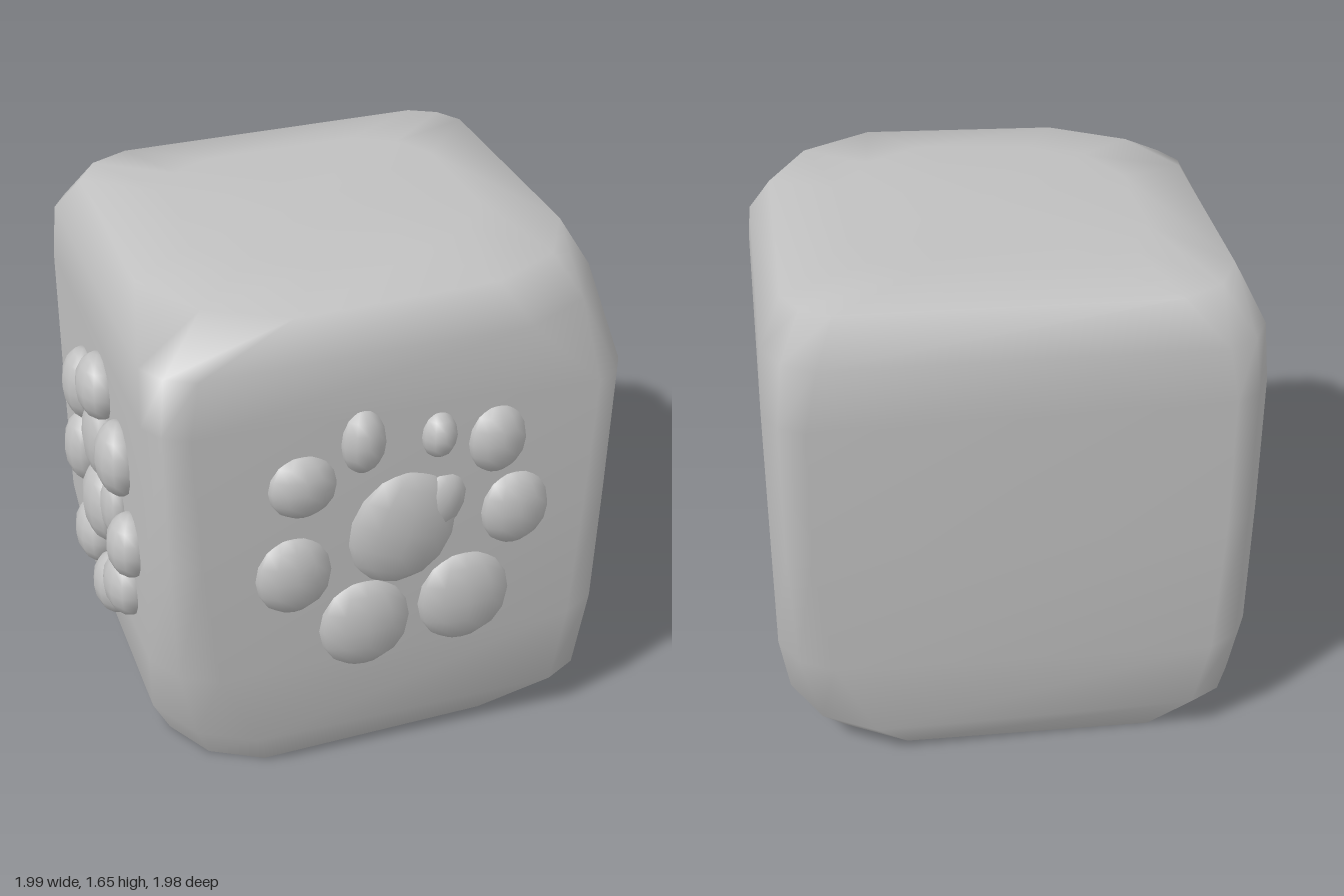
import * as THREE from 'three';

const HX = 0.76, HZ = 0.74, TURN = 0.66;

// Cross-sections from bottom to top: inset, then height and corner cut
// for the front, right, back and left corners.
const RINGS = [
  { inset: 0.09, y: [0, 0.02, 0.02, 0], cut: [0.18, 0.24, 0.22, 0.16] },
  { inset: 0.03, y: [0.13, 0.13, 0.13, 0.13], cut: [0.2, 0.12, 0.19, 0.11] },
  { inset: 0.0, y: [0.42, 0.42, 0.42, 0.38], cut: [0.13, 0.12, 0.12, 0.1] },
  { inset: 0.0, y: [0.85, 0.85, 0.85, 0.85], cut: [0.1, 0.1, 0.085, 0.085] },
  { inset: 0.0, y: [1.3, 1.27, 1.3, 1.3], cut: [0.085, 0.085, 0.09, 0.085] },
  { inset: 0.01, y: [1.48, 1.49, 1.5, 1.48], cut: [0.1, 0.24, 0.11, 0.1] },
  { inset: 0.08, y: [1.6, 1.62, 1.64, 1.62], cut: [0.27, 0.25, 0.1, 0.14] },
  { inset: 0.3, y: [1.635, 1.65, 1.655, 1.645], cut: [0.2, 0.2, 0.15, 0.15] },
];
const CORNERS = [[-1, 1], [1, 1], [1, -1], [-1, -1]];

function ringPoints({ inset, y, cut }) {
  const points = [];
  CORNERS.forEach(([sx, sz], k) => {
    const c = cut[k], hx = HX - inset, hz = HZ - inset;
    const corner = [[1.4 * c, 0], [0.5 * c, 0.5 * c], [0, 1.4 * c]];
    if (sx * sz < 0) corner.reverse();
    for (const [dx, dz] of corner) points.push(sx * (hx - dx), y[k], sz * (hz - dz));
  });
  return points;
}

// Adds a fan of triangles closing one ring
function fan(index, start, n, center, up) {
  for (let i = 0; i < n; i++) {
    const a = start + i, b = start + (i + 1) % n;
    index.push(center, up ? a : b, up ? b : a);
  }
}

function build(positions, index) {
  const g = new THREE.BufferGeometry();
  g.setAttribute('position', new THREE.Float32BufferAttribute(positions, 3));
  g.setIndex(index);
  g.computeVertexNormals();
  return g;
}

function blockGeometry() {
  const n = 12, positions = RINGS.flatMap(ringPoints), index = [];
  for (let j = 0; j < RINGS.length - 1; j++) {
    for (let i = 0; i < n; i++) {
      const a = j * n + i, b = j * n + (i + 1) % n;
      index.push(a, b, b + n, a, b + n, a + n);
    }
  }
  positions.push(0, 1.655, 0);
  fan(index, (RINGS.length - 1) * n, n, RINGS.length * n, true);
  return build(positions, index);
}

function baseGeometry() {
  const positions = ringPoints(RINGS[0]), index = [];
  positions.push(0, 0.01, 0);
  fan(index, 0, 12, 12, false);
  return build(positions, index);
}

// Bumps as [offset along the face, height, half width, half height]
const PAW = [
  [-0.31, 1.08, 0.115, 0.11], [-0.12, 1.2, 0.075, 0.11],
  [0.12, 1.18, 0.06, 0.08], [0.31, 1.13, 0.1, 0.12],
  [0.38, 0.87, 0.12, 0.135], [-0.34, 0.77, 0.13, 0.14],
  [-0.11, 0.54, 0.16, 0.165], [0.22, 0.57, 0.165, 0.17],
];
const CLUSTER = [
  [0.09, 1.16, 0.115, 0.11], [-0.155, 1.04, 0.11, 0.125],
  [0.325, 1.03, 0.11, 0.125], [-0.21, 0.77, 0.095, 0.13],
  [0.42, 0.77, 0.095, 0.11], [-0.115, 0.49, 0.11, 0.115],
  [0.15, 0.45, 0.1, 0.11], [0.33, 0.57, 0.11, 0.11],
];

export function createModel() {
  const model = new THREE.Group();
  model.name = 'pawBlock';
  const grey = new THREE.MeshStandardMaterial({ color: 0xc0c0c0 });
  grey.name = 'grey';
  const ball = new THREE.SphereGeometry(1, 12, 8);

  const add = (geometry, name, parent) => {
    const mesh = new THREE.Mesh(geometry, grey);
    mesh.name = name;
    parent.add(mesh);
    return mesh;
  };
  const bump = (parent, name, [u, y, w, h], depth, tilt = 0) => {
    const mesh = add(ball, name, parent);
    mesh.position.set(u, y, 0);
    mesh.scale.set(w, h, depth);
    mesh.rotation.z = tilt;
  };

  // Softened block
  const block = new THREE.Group();
  block.name = 'block';
  block.rotation.y = TURN;
  model.add(block);
  add(blockGeometry(), 'body', block);
  add(baseGeometry(), 'base', block);

  // Paw print on the front left face
  const paw = new THREE.Group();
  paw.name = 'pawPrint';
  paw.position.z = HZ - 0.02;
  block.add(paw);
  PAW.forEach((b) => bump(paw, 'toe', b, 0.075));
  bump(paw, 'pad', [0.01, 0.87, 0.185, 0.205], 0.075, -0.3);
  bump(paw, 'padTip', [0.12, 0.93, 0.09, 0.12], 0.06, -0.6);

  // Crowded print on the front right face
  const cluster = new THREE.Group();
  cluster.name = 'clusterPrint';
  cluster.position.x = -HX - 0.01;
  cluster.rotation.y = -Math.PI / 2;
  block.add(cluster);
  CLUSTER.forEach((b) => bump(cluster, 'toe', b, 0.075));
  bump(cluster, 'upperPad', [0.07, 0.96, 0.12, 0.14], 0.06);
  bump(cluster, 'lowerPad', [0.07, 0.72, 0.13, 0.14], 0.075);
  bump(cluster, 'sidePad', [0.24, 0.8, 0.08, 0.11], 0.05);

  return model;
}
